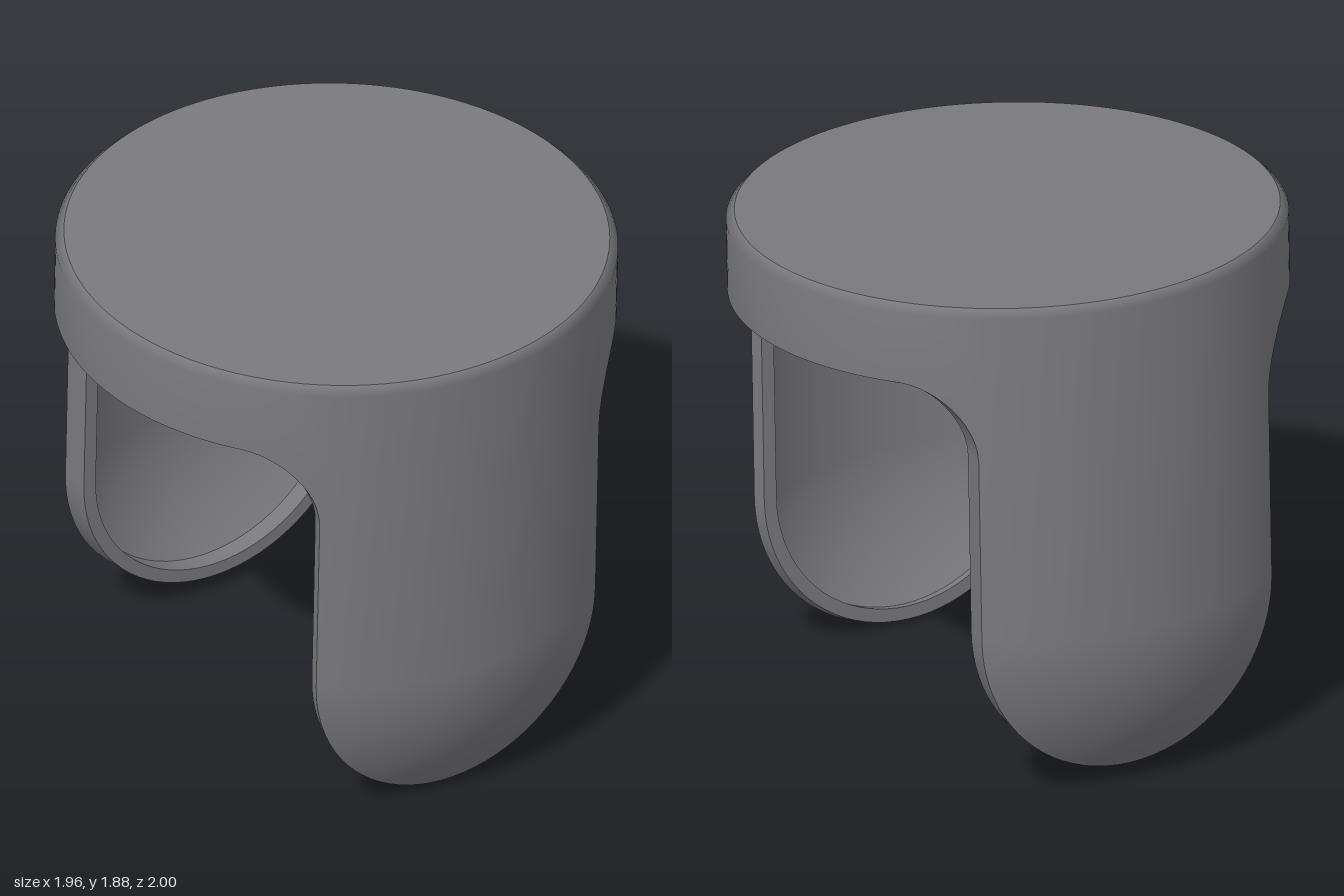
import * as THREE from 'three';
import { mergeGeometries, mergeVertices } from 'three/addons/utils/BufferGeometryUtils.js';

const CY = 0.605;                     // height of the rounded leg ends' centre
const S = 14, T = 20, F = 12, N = 40; // segments: cap rings, quarter arc, fillet, side

// Grid surface through rows of points (rows run downwards on an outward-facing wall)
function loft(rows, closed = true) {
  const n = rows[0].length, idx = [];
  for (let r = 0; r < rows.length - 1; r++)
    for (let i = 0; i < (closed ? n : n - 1); i++) {
      const j = (i + 1) % n, a = r * n, b = a + n;
      idx.push(b + i, b + j, a + j, b + i, a + j, a + i);
    }
  const g = new THREE.BufferGeometry();
  g.setAttribute('position', new THREE.Float32BufferAttribute(rows.flat(2), 3));
  g.setIndex(idx);
  return g;
}

// Complete a half loop (front centre, +x side, back centre) by mirroring it
const mirrorLoop = h => [...h, ...h.slice(1, -1).reverse().map(([x, y, z]) => [-x, y, z])];

// U-shaped opening cut sideways through a round-ended cylinder about z = zc.
// upper: half outline of leg sides, fillets and underside; edge: whole outline with leg arcs
function opening(R, zc, zFront, zBack, yTop, rz, ry) {
  const at = (y, z) => [Math.sqrt(R ** 2 - (z - zc) ** 2), y, z];
  const legArc = z => {
    const w = at(0, z)[0], arc = [];
    for (let i = 0; i <= T; i++) {
      const t = i / T * Math.PI / 2;
      arc.push([w * Math.sin(t), CY - w * Math.cos(t), z]);
    }
    return arc;
  };
  const fillet = (z0, sign) => {
    const pts = [];
    for (let k = 0; k <= F; k++) {
      const f = k / F * Math.PI / 2;
      pts.push(at(yTop - ry + ry * Math.sin(f), z0 - sign * rz * (1 - Math.cos(f))));
    }
    return pts;
  };
  const side = [];
  const a0 = Math.acos((zFront - rz - zc) / R), a1 = Math.acos((zBack + rz - zc) / R);
  for (let i = 1; i < N; i++) side.push(at(yTop, zc + R * Math.cos(a0 + (a1 - a0) * i / N)));
  const upper = [...fillet(zFront, 1), ...side, ...fillet(zBack, -1).reverse()];
  const edge = mirrorLoop([...legArc(zFront), ...upper, ...legArc(zBack).reverse()]);
  return { R, zc, zFront, zBack, upper, edge };
}

// Wall above an opening with its spherical leg ends
function skin({ R, zc, zFront, zBack, upper }) {
  const aF = Math.acos((zFront - zc) / R), aB = Math.acos((zc - zBack) / R);
  const across = (a, sign) => Array.from({ length: S + 1 }, (_, i) =>
    [R * Math.sin(a * i / S), CY, zc + sign * R * Math.cos(a * i / S)]);
  const wall = mirrorLoop([...across(aF, 1), ...upper, ...across(aB, -1).reverse()]);
  const legEnd = (a, sign) => {
    const rows = [];
    for (let i = 0; i <= S; i++) {
      const p = a * i / S, row = [];
      for (let j = 0; j <= 2 * T; j++) {
        const t = (j / (2 * T) - 1) * Math.PI;
        row.push([sign * R * Math.sin(p) * Math.cos(t), CY + R * Math.sin(p) * Math.sin(t), zc + sign * R * Math.cos(p)]);
      }
      rows.push(row);
    }
    return rows;
  };
  return {
    wall,
    ends: [legEnd(aF, 1), legEnd(aB, -1)],
    ring: (y, radius) => wall.map(([x, , z]) => [x * radius / R, y, zc + (z - zc) * radius / R]),
  };
}

export function createModel() {
  const group = new THREE.Group();
  const body = new THREE.Group();
  body.name = 'cover';
  group.add(body);
  const material = new THREE.MeshStandardMaterial({ color: 0x7a797e });
  const add = (name, ...geos) => {
    const g = mergeVertices(mergeGeometries(geos), 1e-5);
    g.computeVertexNormals();
    const mesh = new THREE.Mesh(g, material);
    mesh.name = name;
    body.add(mesh);
  };

  const R = 0.98, TOP = 1.845, CHAMFER = 0.03, INNER = 0.933, CEILING = 1.81;
  const outer = opening(R, 0, 0.787, -0.787, 1.553, 0.2, 0.28);
  const bevel = opening(0.915, 0.025, 0.74, -0.69, 1.522, 0.18, 0.255);
  const lip = opening(0.885, 0.025, 0.74, -0.69, 1.522, 0.18, 0.255);
  const inner = opening(INNER, 0.005, 0.775, -0.765, 1.53, 0.19, 0.26);
  const outside = skin(outer), inside = skin(inner);

  // Top disc
  add('topDisc', loft([outside.ring(TOP, 0), outside.ring(TOP, R - CHAMFER)]));

  // Outer skin: softened top edge, wall and rounded leg ends
  add('outerWall', loft([outside.ring(TOP, R - CHAMFER), outside.ring(TOP - CHAMFER, R), outside.wall]),
    ...outside.ends.map(e => loft(e, false)));

  // Edge of the opening: outer bevel, flat lip and its return to the inner skin
  add('openingBevel', loft([outer.edge, bevel.edge]));
  add('openingLip', loft([bevel.edge, lip.edge]));
  add('lipReturn', loft([lip.edge, inner.edge]));

  // Inner skin and ceiling
  add('innerWall', loft([inside.wall, inside.ring(CEILING, INNER)]),
    ...inside.ends.map(e => loft(e.reverse(), false)));
  add('ceiling', loft([inside.ring(CEILING, INNER), inside.ring(CEILING, 0)]));

  // The whole piece leans slightly forward
  body.rotation.x = 0.0325;
  body.position.z = -0.0395;
  return group;
}
